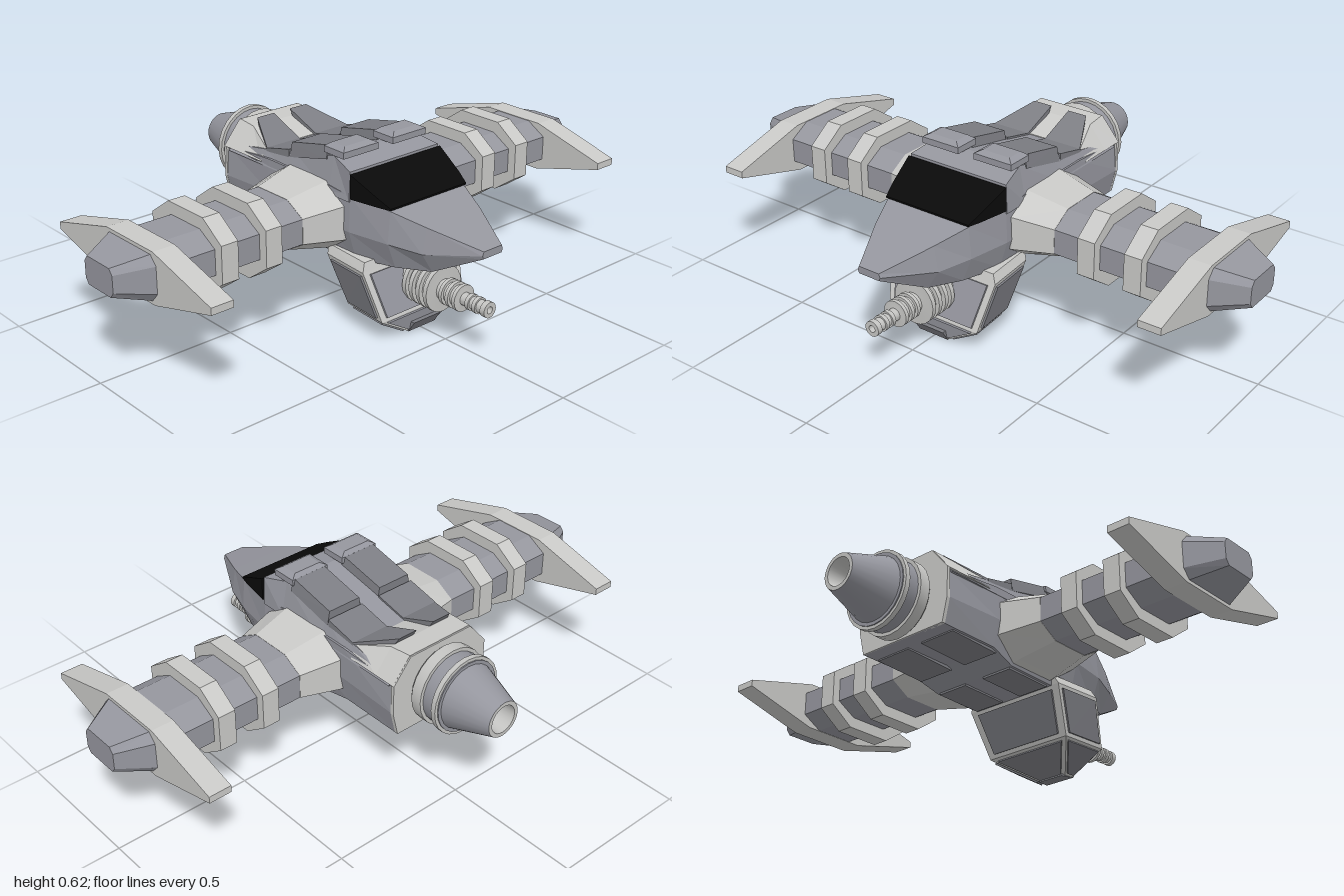
import * as THREE from 'three';
import { toCreasedNormals } from 'three/addons/utils/BufferGeometryUtils.js';

const mat = (name, color) => {
  const m = new THREE.MeshStandardMaterial({ color });
  m.name = name;
  return m;
};

// Flat-faced solid through equal-sized rings of [x, y, z] points, closed at both ends
function loft(rings) {
  const tris = [];
  const n = rings[0].length;
  for (let i = 0; i < rings.length - 1; i++) {
    for (let j = 0; j < n; j++) {
      const k = (j + 1) % n;
      const [a, b, c, d] = [rings[i][j], rings[i][k], rings[i + 1][k], rings[i + 1][j]];
      tris.push([a, b, c], [a, c, d]);
    }
  }
  const last = rings[rings.length - 1];
  for (let j = 1; j < n - 1; j++) {
    tris.push([rings[0][0], rings[0][j + 1], rings[0][j]], [last[0], last[j], last[j + 1]]);
  }
  // turn all faces outward
  const V = (p) => new THREE.Vector3(...p);
  const o = V(rings[0][0]);
  let volume = 0;
  for (const [a, b, c] of tris) volume += V(a).sub(o).dot(V(b).sub(o).cross(V(c).sub(o)));
  if (volume < 0) tris.forEach((t) => t.reverse());
  const g = new THREE.BufferGeometry();
  g.setAttribute('position', new THREE.Float32BufferAttribute(tris.flat(2), 3));
  g.computeVertexNormals();
  return g;
}

// Octagon across the wing at x, given z and y extents
function octagon(x, z0, z1, y0, y1, cz = 0.25, cy = 0.25) {
  const a = (z1 - z0) * cz, b = (y1 - y0) * cy;
  return [[z0, y0 + b], [z0 + a, y0], [z1 - a, y0], [z1, y0 + b],
    [z1, y1 - b], [z1 - a, y1], [z0 + a, y1], [z0, y1 - b]].map(([z, y]) => [x, y, z]);
}

// Side profile of [z, y] points swept from x0 to x1
const slab = (profile, x0, x1) => loft([x0, x1].map((x) => profile.map(([z, y]) => [x, y, z])));

// Thin raised plate on a quad, shrunk toward its centre
function plate(quad, centre, shrink = 0.84, lift = 0.007) {
  const q = quad.map((p) => new THREE.Vector3(...p));
  const mid = q.reduce((s, p) => s.add(p), new THREE.Vector3()).multiplyScalar(0.25);
  const n = q[2].clone().sub(q[0]).cross(q[3].clone().sub(q[1])).normalize();
  if (n.dot(mid.clone().sub(new THREE.Vector3(...centre))) < 0) n.negate();
  return loft([-0.002, lift].map((h) => q.map((p) =>
    p.clone().sub(mid).multiplyScalar(shrink).add(mid).addScaledVector(n, h).toArray())));
}

// Turned part along z from [radius, z] points
function turned(profile, y, sides) {
  const g = new THREE.LatheGeometry(profile.map(([r, z]) => new THREE.Vector2(r, z)), sides);
  g.rotateX(Math.PI / 2).translate(0, y, 0);
  return toCreasedNormals(g, 0.5);
}

export function createModel() {
  const light = mat('light grey', 0xc9c9c7);
  const grey = mat('blue grey', 0x95969e);
  const dark = mat('dark grey', 0x7d7e84);
  const black = mat('black glass', 0x0a0a0a);
  const lightTurned = mat('light grey metal', 0xc4c4c2);
  lightTurned.side = THREE.DoubleSide;
  const greyTurned = mat('blue grey metal', 0x95969e);
  greyTurned.side = THREE.DoubleSide;

  const model = new THREE.Group();
  model.name = 'spacecraft';
  const add = (name, geometry, material) => {
    const m = new THREE.Mesh(geometry, material);
    m.name = name;
    model.add(m);
  };

  // Lower hull and nose: z, top y, bottom y, top, middle and bottom half widths
  add('hull', loft([
    [0.69, 0.4, 0.375, 0.04, 0.045, 0.04], [0.52, 0.448, 0.288, 0.12, 0.135, 0.09],
    [0.405, 0.478, 0.278, 0.165, 0.175, 0.14], [0.25, 0.49, 0.265, 0.195, 0.2, 0.17],
    [0.13, 0.5, 0.252, 0.198, 0.2, 0.17], [-0.06, 0.5, 0.255, 0.198, 0.2, 0.17],
    [-0.16, 0.5, 0.285, 0.198, 0.2, 0.18], [-0.4, 0.48, 0.285, 0.19, 0.2, 0.18],
  ].map(([z, t, b, ht, hm, hb]) => {
    const m = b + (t - b) * 0.45;
    return [[-ht, t, z], [ht, t, z], [hm, m, z], [hb, b, z], [-hb, b, z], [-hm, m, z]];
  })), grey);

  // Cabin roof: z, top y, top half width
  add('cabinRoof', loft([
    [0.25, 0.572, 0.195], [0.15, 0.594, 0.175], [-0.05, 0.553, 0.175], [-0.19, 0.522, 0.18], [-0.38, 0.49, 0.18],
  ].map(([z, t, h]) => [[-h, t, z], [h, t, z], [0.2, 0.47, z], [-0.2, 0.47, z]])), grey);

  // Windscreen
  add('windscreen', loft([
    [0.41, 0.488, 0.168], [0.365, 0.512, 0.18], [0.255, 0.566, 0.2],
  ].map(([z, t, h]) => [[-h, t, z], [h, t, z], [h, 0.482, z], [-h, 0.482, z]])), black);

  // Rear housing around the engine mount
  add('rearHousing', loft([
    [-0.2, 0.523, 0.175], [-0.32, 0.56, 0.135], [-0.4, 0.565, 0.13],
  ].map(([z, t, h]) => [[-h, t, z], [h, t, z], [0.2, 0.48, z], [-0.2, 0.48, z]])), light);
  add('rearPlate', loft([-0.392, -0.405].map((z) =>
    [[-0.13, 0.563, z], [0.13, 0.563, z], [0.2, 0.48, z], [0.2, 0.37, z],
      [0.18, 0.285, z], [-0.18, 0.285, z], [-0.2, 0.37, z], [-0.2, 0.48, z]])), light);

  // Engine: mount, collar, ring and hollow nozzle
  add('engineBody', turned([[0.11, -0.39], [0.11, -0.41], [0.125, -0.41], [0.127, -0.53],
    [0.115, -0.53], [0.064, -0.688]], 0.417, 24), greyTurned);
  add('engineCollar', turned([[0.11, -0.412], [0.13, -0.412], [0.138, -0.42], [0.138, -0.46], [0.12, -0.46]], 0.417, 24), lightTurned);
  add('engineRing', turned([[0.12, -0.508], [0.138, -0.508], [0.138, -0.526], [0.11, -0.526]], 0.417, 24), lightTurned);
  add('nozzle', turned([[0.064, -0.688], [0.05, -0.688], [0.04, -0.6], [0, -0.6]], 0.417, 24), lightTurned);

  // Chin pod: y, half width, front z, back z
  const rows = [[0.285, 0.2, 0.325, 0.135], [0.255, 0.215, 0.335, 0.145],
    [0.09, 0.185, 0.395, 0.215], [0.015, 0.06, 0.385, 0.35]];
  add('chinPod', loft(rows.map(([y, h, f, b]) => [[-h, y, f], [h, y, f], [h * 0.93, y, b], [-h * 0.93, y, b]])), light);
  const core = [0, 0.18, 0.27];
  for (let i = 1; i < 3; i++) {
    const [y0, h0, f0, b0] = rows[i], [y1, h1, f1, b1] = rows[i + 1];
    add('chinFrontPanel', plate([[-h0, y0, f0], [h0, y0, f0], [h1, y1, f1], [-h1, y1, f1]], core, 0.88), grey);
    add('chinBackPanel', plate([[-h0 * 0.93, y0, b0], [h0 * 0.93, y0, b0], [h1 * 0.93, y1, b1], [-h1 * 0.93, y1, b1]], core), dark);
    for (const s of [-1, 1]) {
      add('chinSidePanel', plate([[s * h0, y0, f0], [s * h0 * 0.93, y0, b0], [s * h1 * 0.93, y1, b1], [s * h1, y1, f1]], core), dark);
    }
  }
  add('chinLip', loft([[0.055, 0.4], [0.015, 0.375]].map(([y, z]) =>
    [[-0.06, y, z + 0.015], [0.06, y, z + 0.015], [0.05, y - 0.005, z - 0.04], [-0.05, y - 0.005, z - 0.04]])), dark);

  // Gun: stepped barrel with cooling rings
  const gun = [[0.065, 0.33]];
  const ring = (z, r, core, w) => gun.push([core, z], [r, z], [r, z + w], [core, z + w]);
  [0.375, 0.405, 0.437, 0.47].forEach((z) => ring(z, 0.08, 0.065, 0.016));
  gun.push([0.036, 0.488]);
  [0.507, 0.535, 0.565].forEach((z) => ring(z, 0.046, 0.036, 0.013));
  gun.push([0.022, 0.58]);
  [0.605, 0.635].forEach((z) => ring(z, 0.028, 0.022, 0.014));
  ring(0.67, 0.027, 0.02, 0.019);
  gun.push([0.012, 0.689], [0.012, 0.66], [0, 0.66]);
  add('gun', turned(gun, 0.187, 20), lightTurned);

  for (const s of [-1, 1]) {
    // Roof pads, kicked-up rear ramps and front caps
    add('roofPad', loft([[0.575, 0.036, 0.182], [0.0, 0.045, 0.172]].map(([y, a, b], i) =>
      [[0.12, i ? 0.622 : 0.575], [-0.065, i ? 0.581 : 0.53]].flatMap(([z, t], k) =>
        (k ? [b, a] : [a, b]).map((x) => [s * x, t, z])))), dark);
    add('rearPad', slab([[-0.07, 0.52], [-0.07, 0.556], [-0.19, 0.528], [-0.19, 0.49]], s * 0.036, s * 0.182), dark);
    add('rearRamp', loft([[-0.19, 0.528, 0.18], [-0.33, 0.583, 0.11]].map(([z, t, b], i) =>
      [[s * 0.036, t, z], [s * b, t, z], [s * (b + i * 0.02), 0.5, z + i * 0.05], [s * 0.036, 0.5, z + i * 0.05]])), dark);
    add('roofCap', loft([[0.598, 0.11, 0.205, 0.032, 0.182], [0.62, 0.11, 0.205, 0.032, 0.182], [0.632, 0.125, 0.185, 0.055, 0.16]]
      .map(([y, z0, z1, a, b]) => [[s * a, y, z0], [s * b, y, z0], [s * b, y, z1], [s * a, y, z1]])), grey);

    // Belly pads
    add('bellyPad', slab([[0.13, 0.27], [0.13, 0.246], [-0.06, 0.248], [-0.06, 0.27]], s * 0.04, s * 0.16), dark);
    add('rearBellyPad', slab([[-0.14, 0.3], [-0.14, 0.274], [-0.345, 0.28], [-0.345, 0.3]], s * 0.03, s * 0.17), dark);

    // Wing root, spar, rings, end fin and tip
    add('wingRoot', loft([octagon(s * 0.17, -0.15, 0.225, 0.265, 0.512),
      octagon(s * 0.2, -0.15, 0.225, 0.272, 0.505), octagon(s * 0.34, -0.113, 0.188, 0.3, 0.475)]), light);
    add('wingSpar', loft([0.33, 0.82].map((x) => octagon(s * x, -0.112, 0.187, 0.301, 0.474))), grey);
    for (const x of [0.45, 0.62]) {
      add('wingRing', loft([x, x + 0.063].map((v) => octagon(s * v, -0.142, 0.22, 0.26, 0.516))), light);
    }
    add('endFin', slab([[0.443, 0.376], [0.443, 0.4], [0.16, 0.476], [-0.085, 0.476],
      [-0.368, 0.4], [-0.368, 0.376], [-0.085, 0.3], [0.16, 0.3]], s * 0.808, s * 0.888), light);
    add('wingTip', loft([octagon(s * 0.88, -0.103, 0.18, 0.31, 0.466, 0.1, 0.2),
      octagon(s * 1, -0.037, 0.112, 0.34, 0.435, 0.1, 0.2)]), grey);
  }
  return model;
}
